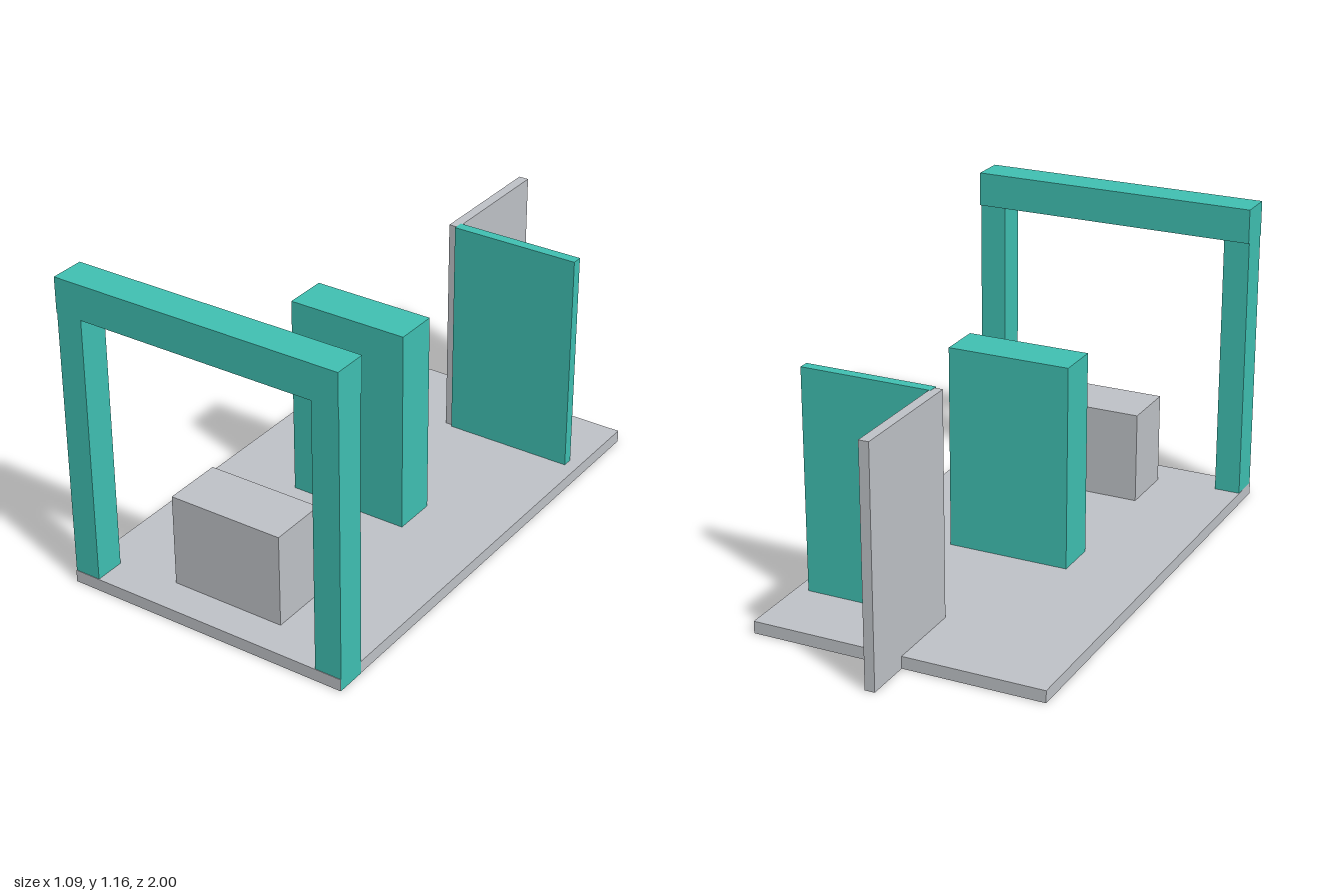
import * as THREE from 'three';

export function createModel() {
  const group = new THREE.Group();
  const teal = new THREE.MeshStandardMaterial({ color: 0x40c1b3 });
  teal.name = 'teal';
  const grey = new THREE.MeshStandardMaterial({ color: 0xc0c3c8 });
  grey.name = 'light grey';

  // Box given by its extent along each axis
  function block(name, material, [x0, x1], [y0, y1], [z0, z1]) {
    const mesh = new THREE.Mesh(new THREE.BoxGeometry(x1 - x0, y1 - y0, z1 - z0), material);
    mesh.position.set((x0 + x1) / 2, (y0 + y1) / 2, (z0 + z1) / 2);
    mesh.name = name;
    group.add(mesh);
  }

  // Floor slab
  block('floor', grey, [-0.543, 0.542], [0, 0.045], [-0.82, 1]);

  // Front gateway: two posts and a lintel; the left post runs down the floor's edge
  block('rightPost', teal, [-0.542, -0.445], [0.002, 1.035], [0.885, 0.998]);
  block('leftPost', teal, [0.443, 0.543], [0, 1.035], [0.885, 0.998]);
  block('lintel', teal, [-0.543, 0.543], [1.035, 1.162], [0.875, 1]);

  // Low counter behind the gateway
  block('counter', grey, [-0.217, 0.215], [0.002, 0.388], [0.65, 0.87]);

  // Upright slab in the middle
  block('middleSlab', teal, [-0.23, 0.227], [0.002, 0.8], [0.005, 0.168]);

  // Rear L-shaped screen: cross panel and a fin overhanging the floor
  block('rearPanel', teal, [0.008, 0.495], [0.002, 0.871], [-0.541, -0.502]);
  block('rearFin', grey, [-0.022, 0.015], [0, 0.87], [-1, -0.512]);

  return group;
}
